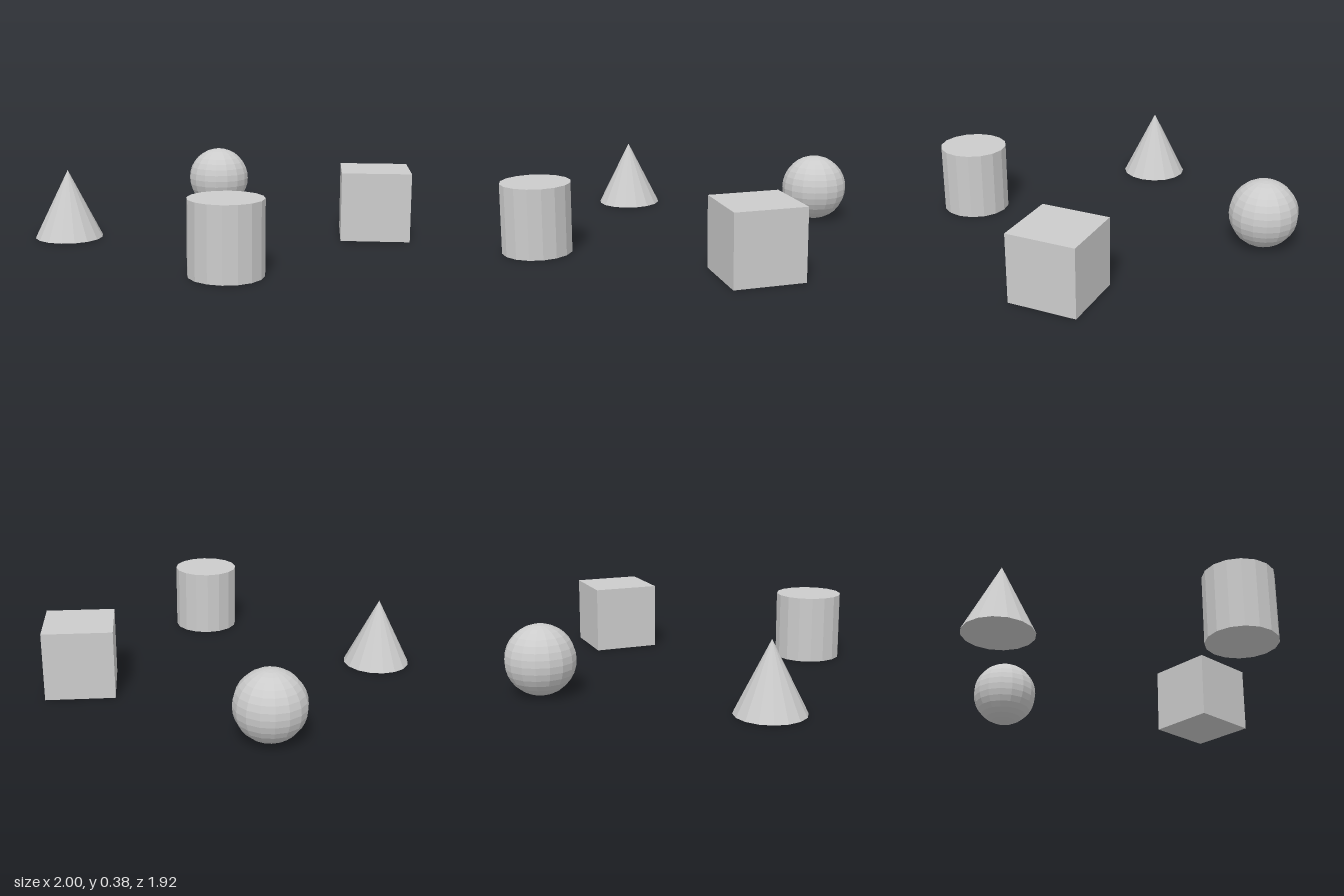
import * as THREE from 'three';

// Four basic solids standing in a ring, all turned by the same angle
export function createModel() {
  const group = new THREE.Group();
  const material = new THREE.MeshStandardMaterial({ color: 0xcccccc, flatShading: true });
  const size = 0.38, radius = size / 2, sides = 16, turn = -0.585;

  const place = (name, geometry, x, z) => {
    const mesh = new THREE.Mesh(geometry, material);
    mesh.name = name;
    mesh.position.set(x, radius, z);
    mesh.rotation.y = turn;
    group.add(mesh);
  };

  place('cube', new THREE.BoxGeometry(size, size, size), 0.735, 0.384);
  place('cylinder', new THREE.CylinderGeometry(radius, radius, size, sides), -0.428, 0.772);
  place('cone', new THREE.ConeGeometry(radius, size, sides), -0.814, -0.389);
  place('sphere', new THREE.SphereGeometry(radius, sides, 16), 0.346, -0.777);

  return group;
}
